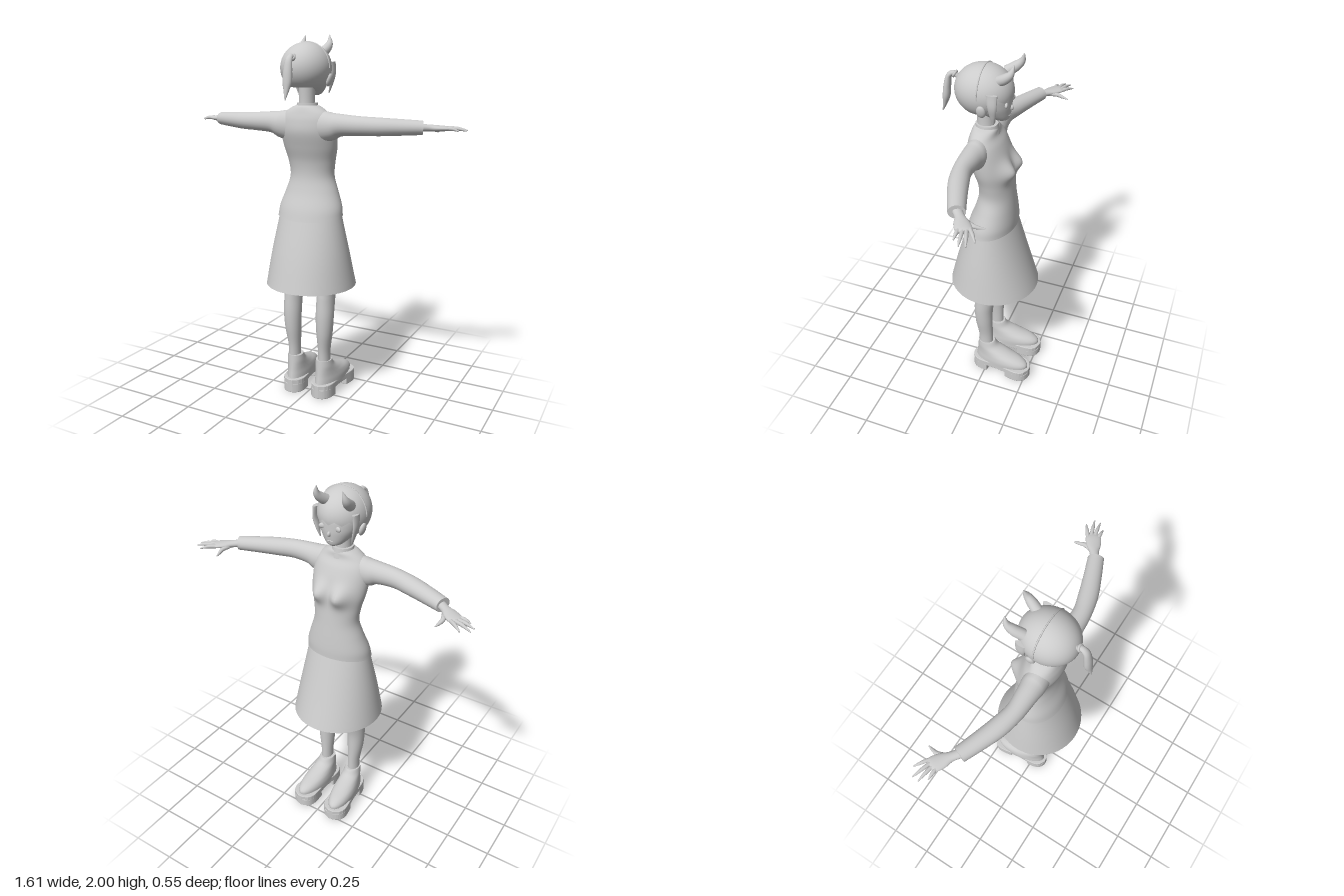
import * as THREE from 'three';

const grey = new THREE.MeshStandardMaterial({ color: 0xcccccc });
const thin = new THREE.MeshStandardMaterial({ color: 0xcccccc, side: THREE.DoubleSide });
const UP = new THREE.Vector3(0, 1, 0);
const BACK = new THREE.Vector3(0, 0, 1);

function add(parent, name, geometry, material = grey) {
  const mesh = new THREE.Mesh(geometry, material);
  mesh.name = name;
  parent.add(mesh);
  return mesh;
}

// Skins a list of closed rings of points; ends can be closed with flat fans
function skin(rings, capStart = false, capEnd = false) {
  const n = rings[0].length, pos = [], idx = [];
  rings.forEach(r => r.forEach(p => pos.push(p.x, p.y, p.z)));
  for (let i = 0; i < rings.length - 1; i++) for (let j = 0; j < n; j++) {
    const k = (j + 1) % n, a = i * n + j, b = i * n + k;
    idx.push(a, a + n, b, b, a + n, b + n);
  }
  const cap = (ring, flip) => {
    const base = pos.length / 3, c = new THREE.Vector3();
    ring.forEach(p => { pos.push(p.x, p.y, p.z); c.addScaledVector(p, 1 / n); });
    pos.push(c.x, c.y, c.z);
    for (let j = 0; j < n; j++) {
      const k = (j + 1) % n;
      idx.push(base + n, base + (flip ? k : j), base + (flip ? j : k));
    }
  };
  if (capStart) cap(rings[0], false);
  if (capEnd) cap(rings[rings.length - 1], true);
  const g = new THREE.BufferGeometry();
  g.setAttribute('position', new THREE.Float32BufferAttribute(pos, 3));
  g.setIndex(idx);
  g.computeVertexNormals();
  return g;
}

// Sweeps an ellipse through rows [x, y, z, halfWidth, halfHeight];
// upright keeps every ring horizontal, warp moves single points
function sweep(rows, { upright = false, n = 24, steps = 6, caps = [true, true], warp } = {}) {
  const path = new THREE.CatmullRomCurve3(rows.map(r => new THREE.Vector3(r[0], r[1], r[2])), false, 'catmullrom');
  const size = new THREE.CatmullRomCurve3(rows.map(r => new THREE.Vector3(r[3], r[4], 0)), false, 'catmullrom');
  const count = (rows.length - 1) * steps, rings = [];
  for (let i = 0; i <= count; i++) {
    const c = path.getPoint(i / count), s = size.getPoint(i / count);
    const t = upright ? UP : path.getTangent(i / count);
    const u = new THREE.Vector3().crossVectors(t, upright || Math.abs(t.y) > 0.9 ? BACK : UP).normalize();
    const v = new THREE.Vector3().crossVectors(u, t);
    rings.push(Array.from({ length: n }, (_, j) => {
      const a = j / n * Math.PI * 2;
      const p = c.clone().addScaledVector(u, Math.cos(a) * s.x).addScaledVector(v, Math.sin(a) * s.y);
      if (warp) warp(p);
      return p;
    }));
  }
  return skin(rings, caps[0], caps[1]);
}

// Upright row from height, half width, back z and front z
const row = (y, w, back, front, x = 0) => [x, y, (back + front) / 2, w, (back - front) / 2];

function ellipsoid(parent, name, x, y, z, a, b, c) {
  const m = add(parent, name, new THREE.SphereGeometry(1, 20, 14));
  m.position.set(x, y, z);
  m.scale.set(a, b, c);
  return m;
}

// Slice of the sole outline, from t0 (0 = heel) to t1 (1 = toe)
function solePart(t0, t1, y0, y1) {
  const side = [];
  for (let i = 0; i <= 20; i++) {
    const t = t0 + (t1 - t0) * i / 20;
    const w = (0.066 + 0.012 * t - 0.012 * Math.sin(Math.PI * t) ** 2) * Math.sqrt(Math.max(0, 1 - Math.abs(2 * t - 1) ** 5));
    side.push(new THREE.Vector2(Math.max(w, 0.012), -(0.085 - 0.36 * t)));
  }
  const mirror = side.map(p => new THREE.Vector2(-p.x, p.y)).reverse();
  const g = new THREE.ExtrudeGeometry(new THREE.Shape([...side, ...mirror]), {
    depth: y1 - y0 - 0.008, bevelThickness: 0.004, bevelSize: 0.004, bevelOffset: -0.002, bevelSegments: 2 });
  return g.rotateX(-Math.PI / 2).translate(0, y0 + 0.004, 0);
}

function makeLegAndShoe(s) {
  const g = new THREE.Group();
  g.name = s > 0 ? 'leftLeg' : 'rightLeg';
  add(g, 'leg', sweep([
    row(0.17, 0.033, 0.048, -0.035, s * 0.095), row(0.27, 0.034, 0.052, -0.033, s * 0.095),
    row(0.38, 0.045, 0.068, -0.033, s * 0.1), row(0.48, 0.05, 0.073, -0.036, s * 0.102),
    row(0.58, 0.05, 0.068, -0.055, s * 0.102), row(0.66, 0.053, 0.065, -0.063, s * 0.102),
    row(0.95, 0.075, 0.08, -0.085, s * 0.09)], { upright: true }));
  const shoe = new THREE.Group();
  shoe.name = 'shoe';
  shoe.position.x = s * 0.091;
  shoe.rotation.y = -s * 0.08;
  add(shoe, 'solePlate', solePart(0, 1, 0.045, 0.08));
  add(shoe, 'heelBlock', solePart(0, 0.29, 0, 0.055));
  add(shoe, 'toeBlock', solePart(0.64, 1, 0.008, 0.055));
  add(shoe, 'upper', sweep([
    row(0.07, 0.066, 0.073, -0.262), row(0.1, 0.066, 0.068, -0.26), row(0.125, 0.062, 0.064, -0.225),
    row(0.15, 0.056, 0.061, -0.15), row(0.18, 0.05, 0.058, -0.075), row(0.215, 0.044, 0.055, -0.045)], { upright: true }));
  g.add(shoe);
  return g;
}

function makeArm(s) {
  const g = new THREE.Group();
  g.name = s > 0 ? 'leftArm' : 'rightArm';
  const tube = (name, rows, n) => add(g, name, sweep(rows.map(r => [s * r[0], ...r.slice(1)]), { n }));
  tube('sleeve', [[0.06, 1.53, 0.04, 0.06, 0.085], [0.14, 1.535, 0.042, 0.062, 0.075], [0.2, 1.544, 0.044, 0.055, 0.058],
    [0.3, 1.544, 0.042, 0.048, 0.05], [0.4, 1.542, 0.018, 0.05, 0.047], [0.5, 1.541, -0.018, 0.046, 0.042],
    [0.605, 1.54, -0.06, 0.041, 0.036]]);
  tube('hand', [[0.59, 1.54, -0.055, 0.024, 0.02], [0.63, 1.538, -0.085, 0.024, 0.018],
    [0.665, 1.536, -0.108, 0.036, 0.016], [0.7, 1.535, -0.132, 0.039, 0.013], [0.718, 1.534, -0.143, 0.03, 0.009]]);
  // Root and tip of each finger as [x, z, x, z]
  [[0.69, -0.158, 0.758, -0.207], [0.705, -0.148, 0.8, -0.182], [0.71, -0.132, 0.803, -0.15], [0.71, -0.112, 0.772, -0.115]]
    .forEach(([x0, z0, x1, z1]) => tube('finger', [[x0, 1.535, z0, 0.01, 0.01],
      [(x0 + x1) / 2, 1.535, (z0 + z1) / 2, 0.009, 0.009], [x1, 1.525, z1, 0.003, 0.003]], 10));
  tube('thumb', [[0.632, 1.532, -0.09, 0.014, 0.012], [0.65, 1.525, -0.145, 0.012, 0.011],
    [0.648, 1.518, -0.175, 0.009, 0.009], [0.64, 1.513, -0.208, 0.003, 0.003]], 10);
  return g;
}

// Hair cap with a jagged fringe over the face and a low nape
function hairCap() {
  const n = 96, rings = [];
  for (let i = 0; i <= 24; i++) rings.push(Array.from({ length: n }, (_, j) => {
    const phi = j / n * Math.PI * 2, front = -Math.sin(phi);
    const open = THREE.MathUtils.smoothstep(front, 0.3, 0.6);
    const jag = Math.abs(((j / 8) % 1) - 0.5) * 0.3;
    const edge = THREE.MathUtils.lerp(2.4, 1.62 + jag, open);
    const th = edge * (1 - i / 24);
    return new THREE.Vector3(0.13 * Math.sin(th) * Math.cos(phi), 1.83 + 0.13 * Math.cos(th), 0.043 + 0.148 * Math.sin(th) * Math.sin(phi));
  }));
  return skin(rings);
}

function makeHead() {
  const g = new THREE.Group();
  g.name = 'head';
  add(g, 'neck', sweep([row(1.6, 0.046, 0.085, -0.015), row(1.66, 0.042, 0.08, -0.01), row(1.78, 0.045, 0.085, -0.01)], { upright: true }));
  add(g, 'face', sweep([row(1.687, 0.018, -0.03, -0.074), row(1.7, 0.046, 0.005, -0.086), row(1.735, 0.08, 0.07, -0.093),
    row(1.78, 0.106, 0.115, -0.096), row(1.84, 0.117, 0.15, -0.09), row(1.9, 0.09, 0.12, -0.05)], { upright: true, n: 32 }));
  ellipsoid(g, 'nose', 0, 1.757, -0.095, 0.009, 0.014, 0.013);
  ellipsoid(g, 'mouth', 0, 1.718, -0.088, 0.018, 0.005, 0.005);
  add(g, 'hair', hairCap(), thin);
  const band = add(g, 'hairBand', new THREE.TorusGeometry(0.13, 0.004, 8, 40, Math.PI));
  band.position.set(0, 1.83, 0.035);
  for (const s of [1, -1]) {
    ellipsoid(g, 'eye', s * 0.042, 1.787, -0.084, 0.022, 0.014, 0.009).rotation.y = s * 0.35;
    ellipsoid(g, 'ear', s * 0.12, 1.77, 0.015, 0.014, 0.034, 0.024).rotation.z = -s * 0.25;
    add(g, 'sideLock', sweep([[s * 0.112, 1.86, -0.035, 0.012, 0.03], [s * 0.116, 1.8, -0.038, 0.01, 0.024],
      [s * 0.105, 1.75, -0.038, 0.008, 0.016], [s * 0.092, 1.7, -0.036, 0.002, 0.004]], { n: 12 }));
  }
  // Horns sit off centre and curve forward and up
  for (const [x, s] of [[-0.083, -1], [0.04, 1]]) add(g, 'horn', sweep([
    [x, 1.9, -0.04, 0.027, 0.027], [x + s * 0.013, 1.925, -0.08, 0.025, 0.025],
    [x + s * 0.018, 1.955, -0.11, 0.017, 0.017], [x + s * 0.01, 1.998, -0.124, 0.002, 0.002]], { n: 16 }));
  // Ponytail and its tie
  add(g, 'ponytail', sweep([[0, 1.865, 0.17, 0.012, 0.012], [0, 1.888, 0.2, 0.014, 0.012], [0, 1.87, 0.226, 0.019, 0.014],
    [0, 1.82, 0.237, 0.024, 0.018], [0, 1.765, 0.243, 0.025, 0.019], [0, 1.72, 0.253, 0.014, 0.012], [0, 1.675, 0.267, 0.002, 0.002]], { n: 16 }));
  const tie = add(g, 'hairTie', new THREE.TorusGeometry(0.014, 0.007, 8, 20));
  tie.position.set(0, 1.884, 0.195);
  tie.rotation.x = -0.5;
  return g;
}

// Bust, and a hem that rises toward the front
function shapeTorso(p) {
  if (p.z < -0.02) {
    const dx = (Math.abs(p.x) - 0.062) / 0.045, dy = (p.y - 1.425) / 0.05;
    p.z -= 0.045 * Math.exp(-dx * dx - dy * dy);
  }
  if (p.y < 1.2) p.y -= p.z * 0.13 * (1.2 - p.y) / 0.16;
}

export function createModel() {
  const model = new THREE.Group();
  model.name = 'hornedGirl';
  add(model, 'sweater', sweep([
    row(1.045, 0.186, 0.132, -0.137), row(1.1, 0.178, 0.115, -0.136), row(1.18, 0.15, 0.083, -0.13),
    row(1.26, 0.126, 0.066, -0.122), row(1.34, 0.134, 0.072, -0.114), row(1.42, 0.152, 0.097, -0.105),
    row(1.5, 0.158, 0.12, -0.085), row(1.56, 0.15, 0.118, -0.06), row(1.6, 0.125, 0.108, -0.035),
    row(1.628, 0.085, 0.098, -0.03), row(1.64, 0.055, 0.09, -0.025)],
    { upright: true, n: 64, caps: [false, true], warp: shapeTorso }), thin);
  add(model, 'collar', sweep([row(1.6, 0.066, 0.095, -0.036), row(1.63, 0.058, 0.09, -0.03), row(1.652, 0.054, 0.088, -0.026)],
    { upright: true, caps: [false, true] }), thin);
  add(model, 'skirt', sweep([row(0.655, 0.25, 0.235, -0.263), row(0.85, 0.217, 0.185, -0.2), row(1.09, 0.17, 0.112, -0.126)],
    { upright: true, n: 56, caps: [false, false] }), thin);
  for (const s of [1, -1]) model.add(makeLegAndShoe(s), makeArm(s));
  model.add(makeHead());
  return model;
}
